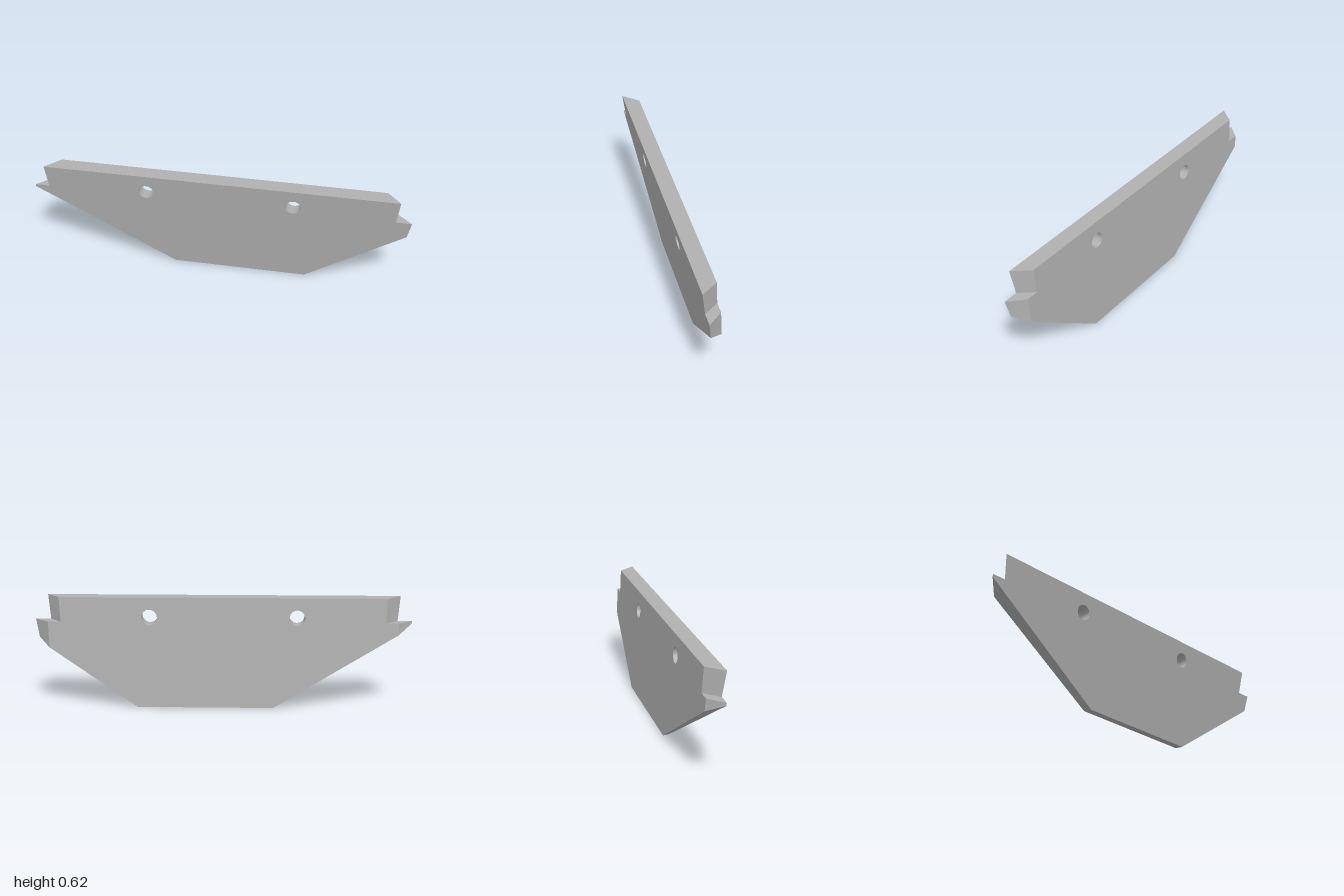
import * as THREE from 'three';
import { toCreasedNormals } from 'three/addons/utils/BufferGeometryUtils.js';

// The two slanted faces of the tapered plate: depth z at a given x, y
const frontZ = (x, y) => 0.327 * x + 0.15 * y - 0.044;
const backZ = (x, y) => 0.327 * x + 0.066 * y - 0.087;

// Matching outlines, counterclockwise from the front; the ends are mitred and notched
const frontOutline = [
  [-0.235, 0], [0.48, 0], [0.985, 0.38], [1, 0.48], [0.918, 0.48],
  [0.928, 0.617], [-0.945, 0.617], [-0.925, 0.48], [-1, 0.48], [-1, 0.465],
];
const backOutline = [
  [-0.235, 0], [0.485, 0], [0.945, 0.335], [0.947, 0.48], [0.88, 0.48],
  [0.885, 0.617], [-0.84, 0.617], [-0.832, 0.48], [-0.9, 0.48], [-0.895, 0.413],
];

// Bolt hole rim, clockwise
function holeRim(cx, cy) {
  const rim = [];
  for (let i = 0; i < 32; i++) {
    const a = -i / 32 * Math.PI * 2;
    rim.push([cx + 0.041 * Math.cos(a), cy + 0.043 * Math.sin(a)]);
  }
  return rim;
}

function plateGeometry() {
  const frontLoops = [frontOutline, holeRim(-0.393, 0.508), holeRim(0.387, 0.508)];
  const backLoops = [backOutline, holeRim(-0.369, 0.506), holeRim(0.411, 0.506)];
  const positions = [], index = [];

  const addLoops = (loops, depth) => {
    for (const [x, y] of loops.flat()) positions.push(x, y, depth(x, y));
  };
  addLoops(frontLoops, frontZ);
  addLoops(backLoops, backZ);
  const count = frontLoops.flat().length;

  // Faces with holes
  const triangulate = (loops) => {
    const [outer, ...holes] = loops.map((l) => l.map(([x, y]) => new THREE.Vector2(x, y)));
    return THREE.ShapeUtils.triangulateShape(outer, holes);
  };
  for (const [a, b, c] of triangulate(frontLoops)) index.push(a, b, c);
  for (const [a, b, c] of triangulate(backLoops)) index.push(count + a, count + c, count + b);

  // Edge walls and hole walls
  let start = 0;
  for (const loop of frontLoops) {
    const n = loop.length;
    for (let i = 0; i < n; i++) {
      const a = start + i, b = start + (i + 1) % n;
      index.push(a, count + a, count + b, a, count + b, b);
    }
    start += n;
  }

  const geometry = new THREE.BufferGeometry();
  geometry.setAttribute('position', new THREE.Float32BufferAttribute(positions, 3));
  geometry.setIndex(index);
  return toCreasedNormals(geometry, 0.3);
}

export function createModel() {
  const group = new THREE.Group();
  group.name = 'mitredPlate';
  const steel = new THREE.MeshStandardMaterial({ color: 0xb0b0b0 });
  steel.name = 'grey steel';
  const plate = new THREE.Mesh(plateGeometry(), steel);
  plate.name = 'plate';
  group.add(plate);
  return group;
}
